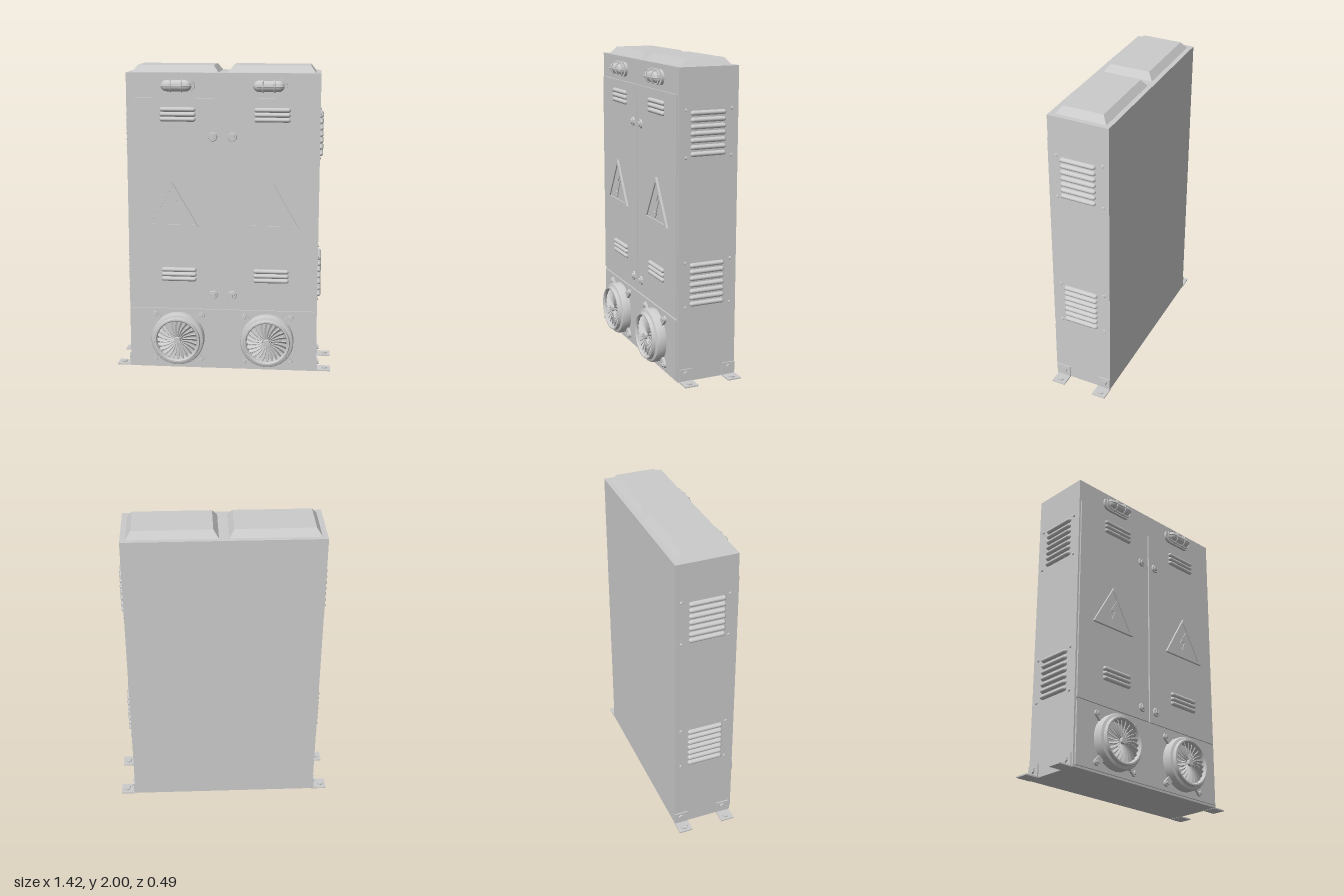
import * as THREE from 'three';
import { toCreasedNormals } from 'three/addons/utils/BufferGeometryUtils.js';

const grey = new THREE.MeshStandardMaterial({ color: 0xcccccc });

function add(parent, name, geo, x = 0, y = 0, z = 0) {
  const m = new THREE.Mesh(geo, grey);
  m.name = name;
  m.position.set(x, y, z);
  parent.add(m);
  return m;
}

function group(parent, name, x = 0, y = 0, z = 0) {
  const g = new THREE.Group();
  g.name = name;
  g.position.set(x, y, z);
  parent.add(g);
  return g;
}

// box given by its limits
function block(parent, name, x0, x1, y0, y1, z0, z1) {
  return add(parent, name, new THREE.BoxGeometry(x1 - x0, y1 - y0, z1 - z0),
    (x0 + x1) / 2, (y0 + y1) / 2, (z0 + z1) / 2);
}

// cylinder along +z starting at z = 0
function disc(r0, r1, h, sides = 24) {
  return toCreasedNormals(new THREE.CylinderGeometry(r1, r0, h, sides).rotateX(Math.PI / 2).translate(0, 0, h / 2), 0.6);
}

function extrude(shape, depth) {
  return new THREE.ExtrudeGeometry(shape, { depth, bevelEnabled: false, curveSegments: 12 });
}

function stadium(w, h) {
  const s = new THREE.Shape(), a = (w - h) / 2, r = h / 2;
  s.absarc(a, 0, r, -Math.PI / 2, Math.PI / 2);
  s.absarc(-a, 0, r, Math.PI / 2, Math.PI * 1.5);
  s.closePath();
  return s;
}

// row of rounded louvres facing +z
function louvres(parent, name, count, width, pitch, out) {
  const g = group(parent, name);
  for (let i = 0; i < count; i++) {
    const geo = new THREE.CapsuleGeometry(0.015, width - 0.03, 5, 12).rotateZ(Math.PI / 2).scale(1, 1, out / 0.015);
    add(g, 'louvre', geo, 0, (i - (count - 1) / 2) * pitch, 0);
  }
  return g;
}

// roof cover with sloping edges
function roofCover(parent, side) {
  const geo = new THREE.BoxGeometry(0.555, 0.045, 0.326);
  const p = geo.attributes.position;
  for (let i = 0; i < p.count; i++) {
    if (p.getY(i) > 0) {
      p.setX(i, p.getX(i) * 0.88);
      p.setZ(i, p.getZ(i) * 0.79);
    }
  }
  geo.computeVertexNormals();
  add(parent, 'roofCover', geo, side * 0.307, 1.9755, -0.05);
}

// caged lamp
function lamp(parent, x) {
  const g = group(parent, 'lamp', x, 1.874, 0.15);
  add(g, 'lampBase', extrude(stadium(0.235, 0.094), 0.018));
  const dome = new THREE.CapsuleGeometry(0.038, 0.12, 8, 20).rotateZ(Math.PI / 2);
  add(g, 'lampGlass', dome, 0, 0, 0.016);
  const rim = stadium(0.218, 0.09);
  rim.holes.push(stadium(0.198, 0.07));
  add(g, 'cageRail', extrude(rim, 0.009), 0, 0, 0.026);
  for (const dx of [-0.036, 0.036]) {
    const hoop = new THREE.TorusGeometry(0.041, 0.005, 8, 16, Math.PI).rotateZ(-Math.PI / 2).rotateY(-Math.PI / 2);
    add(g, 'cageHoop', hoop, dx, 0, 0.016);
  }
  const bar = new THREE.TorusGeometry(0.041, 0.004, 8, 12, Math.PI / 2);
  for (const s of [-1, 1]) {
    const end = add(g, 'cageEnd', bar.clone().rotateX(Math.PI / 2), s * 0.06, 0, 0.016);
    end.rotation.y = s > 0 ? 0 : -Math.PI / 2;
  }
  add(g, 'cageBar', new THREE.CylinderGeometry(0.004, 0.004, 0.12, 8).rotateZ(Math.PI / 2), 0, 0, 0.057);
}

function doorLock(parent, x, y) {
  const g = group(parent, 'doorLock', x, y, 0.158);
  add(g, 'lockRing', disc(0.03, 0.026, 0.012));
  add(g, 'lockCore', disc(0.018, 0.016, 0.022));
  add(g, 'lockSlot', new THREE.BoxGeometry(0.005, 0.02, 0.004), 0, 0, 0.023);
}

// triangular hazard plate with a raised bolt
function hazardSign(parent, x) {
  const g = group(parent, 'hazardSign', x, 0, 0.158);
  const tri = (k) => [[-0.169, 0.966], [0.169, 0.966], [0, 1.256]]
    .map(([a, b]) => new THREE.Vector2(a * k, 1.063 + (b - 1.063) * k));
  const frame = new THREE.Shape(tri(1));
  frame.holes.push(new THREE.Path(tri(0.84)));
  add(g, 'signFrame', extrude(frame, 0.017));
  add(g, 'signPlate', extrude(new THREE.Shape(tri(0.86)), 0.009));
  const bolt = [[5, 21], [-6, 3], [2, 5], [-3, -7], [-6, -5], [-3, -13], [3, -7], [0, -7.5], [9, 11], [2, 9], [9, 20]]
    .map(([a, b]) => new THREE.Vector2(a / 190, 1.06 + b / 190));
  add(g, 'signBolt', extrude(new THREE.Shape(bolt), 0.014));
}

function fan(parent, x) {
  const g = group(parent, 'fan', x, 0.214, 0.158);
  const profile = [[0.174, 0], [0.174, 0.05], [0.169, 0.06], [0.152, 0.066], [0.147, 0.087], [0.138, 0.087], [0.132, 0.078], [0.132, 0.012], [0, 0.012]]
    .map(([r, h]) => new THREE.Vector2(r, h));
  add(g, 'fanHousing', toCreasedNormals(new THREE.LatheGeometry(profile, 48).rotateX(Math.PI / 2), 0.5));
  add(g, 'fanHub', disc(0.026, 0.02, 0.072), 0, 0, 0.012);
  for (let i = 0; i < 24; i++) {
    const arm = group(g, 'fanBlade');
    arm.rotation.z = i * Math.PI / 12;
    const blade = new THREE.BoxGeometry(0.118, 0.022, 0.004, 6, 1, 1);
    const p = blade.attributes.position;
    // narrow the blade and sweep it toward the hub
    for (let k = 0; k < p.count; k++) {
      const t = p.getX(k) / 0.118 + 0.5;
      p.setY(k, p.getY(k) * (0.3 + 0.7 * t) + 0.012 * Math.sin(Math.PI * t));
    }
    blade.computeVertexNormals();
    blade.rotateX(0.7);
    add(arm, 'blade', blade, 0.075, 0, 0.06);
  }
  // mounting lugs on the diagonals
  for (let i = 0; i < 4; i++) {
    const lug = group(g, 'fanLug');
    lug.rotation.z = Math.PI / 4 + i * Math.PI / 2;
    add(lug, 'lugArm', extrude(stadium(0.1, 0.042), 0.018), 0.187, 0, 0);
    add(lug, 'lugScrew', disc(0.014, 0.012, 0.008, 6), 0.215, 0, 0.018);
  }
}

// angle foot, with its outer face toward +x
function foot(parent, z) {
  const g = group(parent, 'foot', 0, 0, z);
  block(g, 'footPlate', 0.61, 0.711, 0, 0.008, -0.045, 0.045);
  block(g, 'footFlange', 0.612, 0.625, 0, 0.085, -0.043, 0.043);
  add(g, 'floorBolt', disc(0.022, 0.022, 0.009, 6).rotateX(-Math.PI / 2), 0.674, 0.008, 0);
  add(g, 'wallBolt', disc(0.021, 0.021, 0.01, 6).rotateY(Math.PI / 2), 0.625, 0.053, 0);
}

export function createModel() {
  const model = new THREE.Group();
  model.name = 'electricalCabinet';

  block(model, 'cabinetBody', -0.617, 0.617, 0.002, 1.954, -0.243, 0.15);
  block(model, 'lowerPanel', -0.605, 0.605, 0.015, 0.41, 0.145, 0.16);

  for (const s of [-1, 1]) {
    roofCover(model, s);
    lamp(model, s * 0.292);
    block(model, s > 0 ? 'leftDoor' : 'rightDoor', Math.min(s * 0.007, s * 0.605), Math.max(s * 0.007, s * 0.605), 0.43, 1.795, 0.145, 0.16);
    for (const y of [1.692, 0.645]) {
      louvres(model, 'doorVent', 3, 0.23, 0.031, 0.019).position.set(0.014 + s * 0.301, y, 0.16);
    }
    for (const y of [1.552, 0.51]) doorLock(model, s * 0.0625, y);
    hazardSign(model, s * 0.325);
    fan(model, s * 0.294);

    // side vents, screws and feet, turned to face outward
    const side = group(model, s > 0 ? 'leftSide' : 'rightSide');
    for (const y of [1.56, 0.628]) {
      const vent = louvres(side, 'sideVent', 7, 0.232, 0.041, 0.021);
      vent.position.set(s * 0.617, y, -0.042);
      vent.rotation.y = s * Math.PI / 2;
      for (const dy of [-0.142, 0.142]) for (const z of [0.1, -0.203]) {
        const screw = add(side, 'ventScrew', disc(0.011, 0.008, 0.008, 12), s * 0.616, y + dy, z);
        screw.rotation.y = s * Math.PI / 2;
      }
    }
    // a half turn about y serves the opposite side
    const feet = group(side, 'feet');
    feet.rotation.y = s > 0 ? 0 : Math.PI;
    for (const z of [0.096, -0.2]) foot(feet, s * z);
  }
  return model;
}
